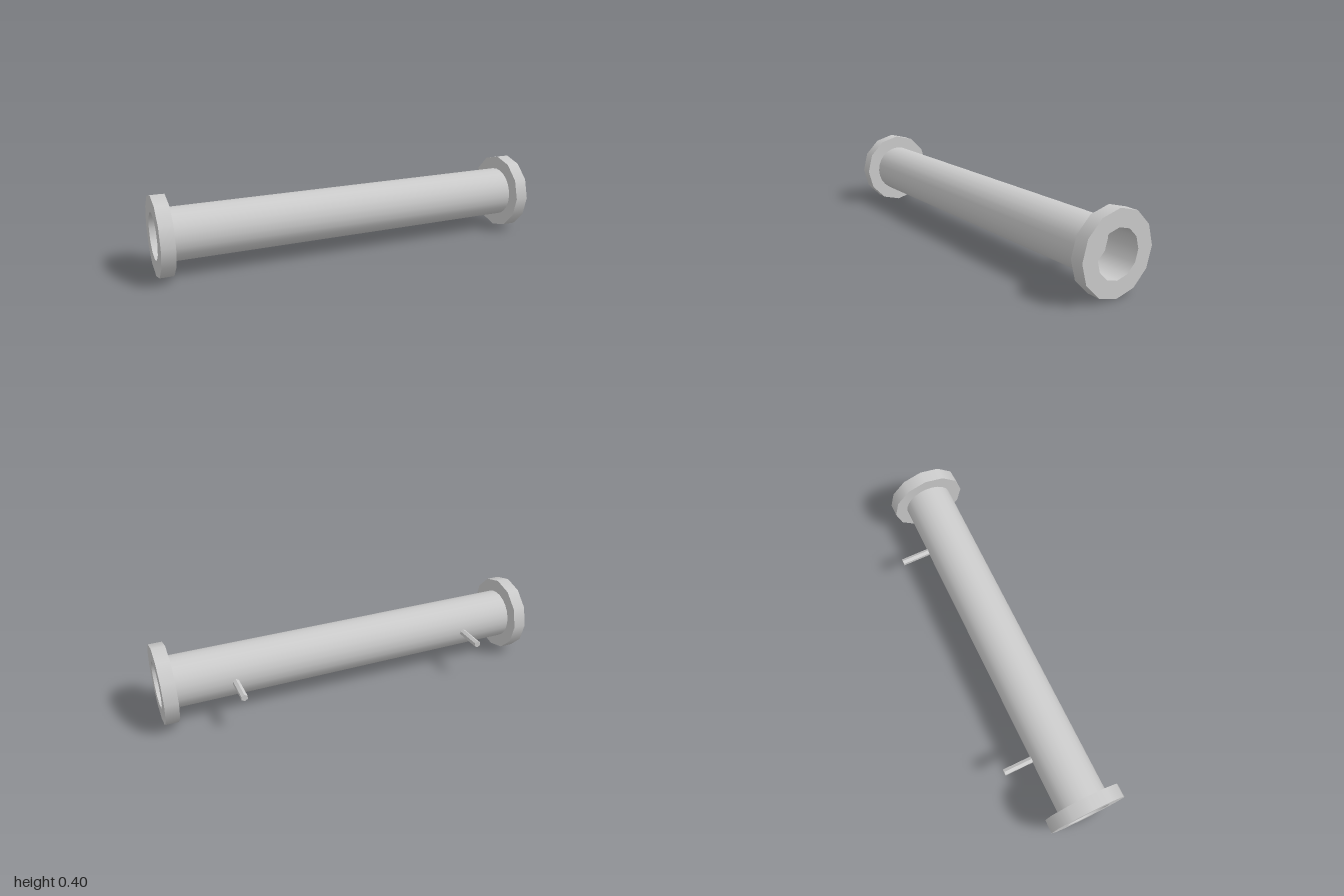
import * as THREE from 'three';
import { mergeGeometries } from 'three/addons/utils/BufferGeometryUtils.js';

const AXIS_Y = 0.2, AXIS_Z = 0.04;
const PIPE_R = 0.13, BORE_R = 0.117, FLANGE_R = 0.2;
const FLANGE_X = 0.932, CORE_X = 0.82;

// Revolve a profile of [radius, height], keeping every profile corner sharp
function sharpLathe(profile, sides) {
  const bands = [];
  for (let i = 0; i < profile.length - 1; i++) {
    const pair = [profile[i], profile[i + 1]].map(([r, h]) => new THREE.Vector2(r, h));
    bands.push(new THREE.LatheGeometry(pair, sides));
  }
  return mergeGeometries(bands);
}

export function createModel() {
  const model = new THREE.Group();
  model.name = 'flangedPipe';
  const smooth = new THREE.MeshStandardMaterial({ color: 0xcccccc });
  const flat = new THREE.MeshStandardMaterial({ color: 0xcccccc, flatShading: true });

  function add(name, geometry, material) {
    const mesh = new THREE.Mesh(geometry, material);
    mesh.name = name;
    model.add(mesh);
    return mesh;
  }

  // Outer pipe wall, running from flange to flange
  const wall = new THREE.CylinderGeometry(PIPE_R, PIPE_R, 2 * FLANGE_X, 24, 1, true).rotateZ(Math.PI / 2);
  add('pipeWall', wall, smooth).position.set(0, AXIS_Y, AXIS_Z);

  // Solid core that closes the bore behind each mouth
  const core = new THREE.CylinderGeometry(PIPE_R, PIPE_R, 2 * CORE_X, 12).rotateZ(Math.PI / 2);
  add('pipeCore', core, smooth).position.set(0, AXIS_Y, AXIS_Z);

  for (const side of [1, -1]) {
    const prefix = side > 0 ? 'left' : 'right';

    // Twelve-sided flange with its recessed bore
    const flange = sharpLathe([
      [BORE_R, FLANGE_X], [FLANGE_R, FLANGE_X], [FLANGE_R, 1], [BORE_R, 1], [BORE_R, CORE_X],
    ], 12).rotateZ(-side * Math.PI / 2);
    add(prefix + 'Flange', flange, smooth).position.set(0, AXIS_Y, AXIS_Z);

    // Hexagonal mounting peg at the back
    const peg = new THREE.CylinderGeometry(0.0175, 0.0175, 0.17, 6).rotateX(-Math.PI / 2);
    add(prefix + 'Peg', peg, flat).position.set(side * 0.64, AXIS_Y, -0.155);
  }
  return model;
}
